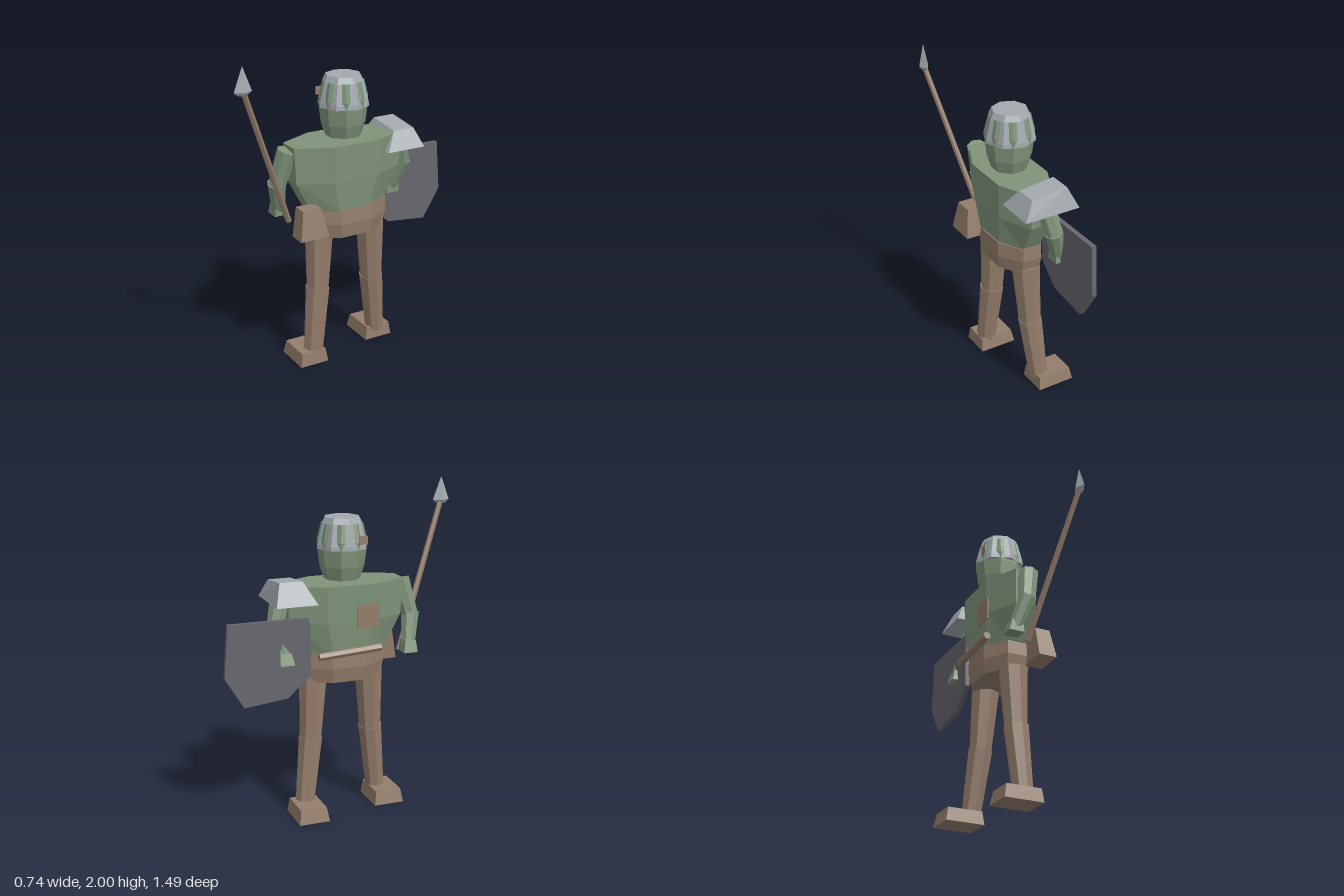
import * as THREE from 'three';

const mat = (name, color) => Object.assign(new THREE.MeshStandardMaterial({ color }), { name });

export function createModel() {
  const green = mat('green cloth', 0x80947a);
  const brown = mat('brown leather', 0x947d6b);
  const steel = mat('pale steel', 0xa3a9ae);
  const dark = mat('dark iron', 0x66666e);

  const root = new THREE.Group();
  root.name = 'guard';
  // body space: +z is where the toes point
  const body = new THREE.Group();
  body.name = 'body';
  body.rotation.y = -Math.PI * 2 / 3;
  root.add(body);

  // add a mesh with hard facets
  function add(name, geometry, material) {
    const g = geometry.index ? geometry.toNonIndexed() : geometry;
    g.computeVertexNormals();
    const m = new THREE.Mesh(g, material);
    m.name = name;
    body.add(m);
    return m;
  }

  // closed eight-sided loft, rings are [y, vertex radius x, vertex radius z]
  function loft(rings, phase, cx, cz) {
    const first = rings[0], last = rings[rings.length - 1];
    const all = [[first[0], 0, 0], ...rings, [last[0], 0, 0]];
    const g = new THREE.LatheGeometry(all.map(r => new THREE.Vector2(1, r[0])), 8, phase);
    const p = g.attributes.position;
    for (let i = 0; i < p.count; i++) {
      const r = all[i % all.length];
      p.setX(i, p.getX(i) * r[1] + cx);
      p.setZ(i, p.getZ(i) * r[2] + cz);
    }
    return g;
  }

  // box whose bottom and top rectangles [x0, x1, z0, z1] differ; tilt lifts the top along z
  function taperBox(bottom, top, y0, y1, tilt = 0) {
    const g = new THREE.BoxGeometry(1, 1, 1);
    const p = g.attributes.position;
    for (let i = 0; i < p.count; i++) {
      const up = p.getY(i) > 0, r = up ? top : bottom;
      const x = r[p.getX(i) > 0 ? 1 : 0], back = p.getZ(i) < 0;
      p.setXYZ(i, x, up ? y1 - (back ? tilt : 0) : y0, r[back ? 2 : 3]);
    }
    return g;
  }

  // tapered cylinder between two points
  function limb(name, a, b, ra, rb, material, sides = 8) {
    const A = new THREE.Vector3(...a), B = new THREE.Vector3(...b);
    const d = B.clone().sub(A);
    const m = add(name, new THREE.CylinderGeometry(rb, ra, d.length(), sides), material);
    m.position.copy(A).add(B).multiplyScalar(0.5);
    m.quaternion.setFromUnitVectors(new THREE.Vector3(0, 1, 0), d.normalize());
    return m;
  }

  // torso and hips
  const h = Math.PI / 8;
  add('torso', loft([[1.015, 0.275, 0.152], [1.21, 0.385, 0.172], [1.435, 0.4, 0.18]], h, 0, 0.03), green);
  add('hips', loft([[0.84, 0.255, 0.15], [0.93, 0.278, 0.165], [1.02, 0.275, 0.16]], h, -0.01, 0.03), brown);

  // head, with its corners showing through the flats of the helmet
  add('head', loft([[1.45, 0.11, 0.11], [1.53, 0.135, 0.135], [1.62, 0.146, 0.146],
    [1.68, 0.15, 0.15], [1.785, 0.125, 0.125]], h, 0, 0.03), green);
  add('helmet', loft([[1.635, 0.158, 0.158], [1.66, 0.156, 0.156], [1.785, 0.125, 0.125],
    [1.82, 0.108, 0.108]], 0, 0, 0.03), steel);

  // small plates on the helmet and chest
  const plate = (name, x, y, z, s) =>
    add(name, new THREE.BoxGeometry(s, s, 0.008), brown).position.set(x, y, z);
  plate('helmetPlate', 0.08, 1.695, 0.178, 0.05);
  plate('chestPlate', 0.105, 1.24, 0.192, 0.14);

  // mirrored arms
  for (const s of [1, -1]) {
    const side = s > 0 ? 'left' : 'right';
    limb(side + 'UpperArm', [s * 0.435, 1.19, 0.065], [s * 0.38, 1.41, 0.025], 0.054, 0.064, green);
    limb(side + 'Forearm', [s * 0.4, 1.02, 0.122], [s * 0.438, 1.21, 0.06], 0.043, 0.058, green);
    add(side + 'Hand', taperBox([s * 0.395 - 0.045, s * 0.395 + 0.045, 0.085, 0.18],
      [s * 0.4 - 0.035, s * 0.4 + 0.035, 0.085, 0.16], 0.98, 1.05), green);
  }

  // legs: top, knee, ankle, foot centre [x, z]
  const legs = [
    ['left', [0.176, 0.86, 0.025], [0.194, 0.475, 0.015], [0.239, 0.06, -0.005], [0.265, 0.05]],
    ['right', [-0.188, 0.86, 0.03], [-0.214, 0.455, 0.05], [-0.266, 0.06, 0.085], [-0.27, 0.16]],
  ];
  for (const [side, top, knee, ankle, [fx, fz]] of legs) {
    limb(side + 'Thigh', knee, top, 0.07, 0.09, brown);
    limb(side + 'Shin', ankle, [knee[0], knee[1] + 0.015, knee[2]], 0.061, 0.077, brown);
    add(side + 'Foot', taperBox([fx - 0.096, fx + 0.096, fz - 0.123, fz + 0.123],
      [fx - 0.082, fx + 0.082, fz - 0.115, fz + 0.105], 0, 0.085), brown);
  }

  // shoulder guard
  add('shoulderGuard', taperBox([-0.47, -0.215, -0.145, 0.215], [-0.43, -0.29, -0.08, 0.15],
    1.34, 1.475, 0.025), steel);

  // hip pouch
  add('pouch', taperBox([0.2, 0.39, -0.155, -0.04], [0.24, 0.36, -0.125, -0.03], 0.89, 1.07), brown);

  // rod hung across the belt
  limb('beltRod', [-0.21, 1.02, 0.2], [0.185, 1.045, 0.2], 0.024, 0.024, brown, 6);

  // shield
  const outline = [[-0.745, 1.25], [-0.77, 0.93], [-0.655, 0.74], [-0.385, 0.77], [-0.24, 0.9], [-0.24, 1.25]];
  const shape = new THREE.Shape(outline.map(p => new THREE.Vector2(...p)));
  const shield = add('shield', new THREE.ExtrudeGeometry(shape, { depth: 0.03, bevelEnabled: false }), dark);
  shield.position.z = 0.115;

  // spear with a flat four-sided blade
  limb('spearShaft', [0.377, 0.96, 0.032], [0.726, 1.85, -0.142], 0.019, 0.017, brown, 6);
  const blade = add('spearBlade', new THREE.LatheGeometry([
    new THREE.Vector2(0, 1.83), new THREE.Vector2(0.028, 1.833),
    new THREE.Vector2(0.055, 1.855), new THREE.Vector2(0, 2)], 4), steel);
  blade.scale.z = 0.55;
  blade.position.set(0.73, 0, -0.144);

  return root;
}
